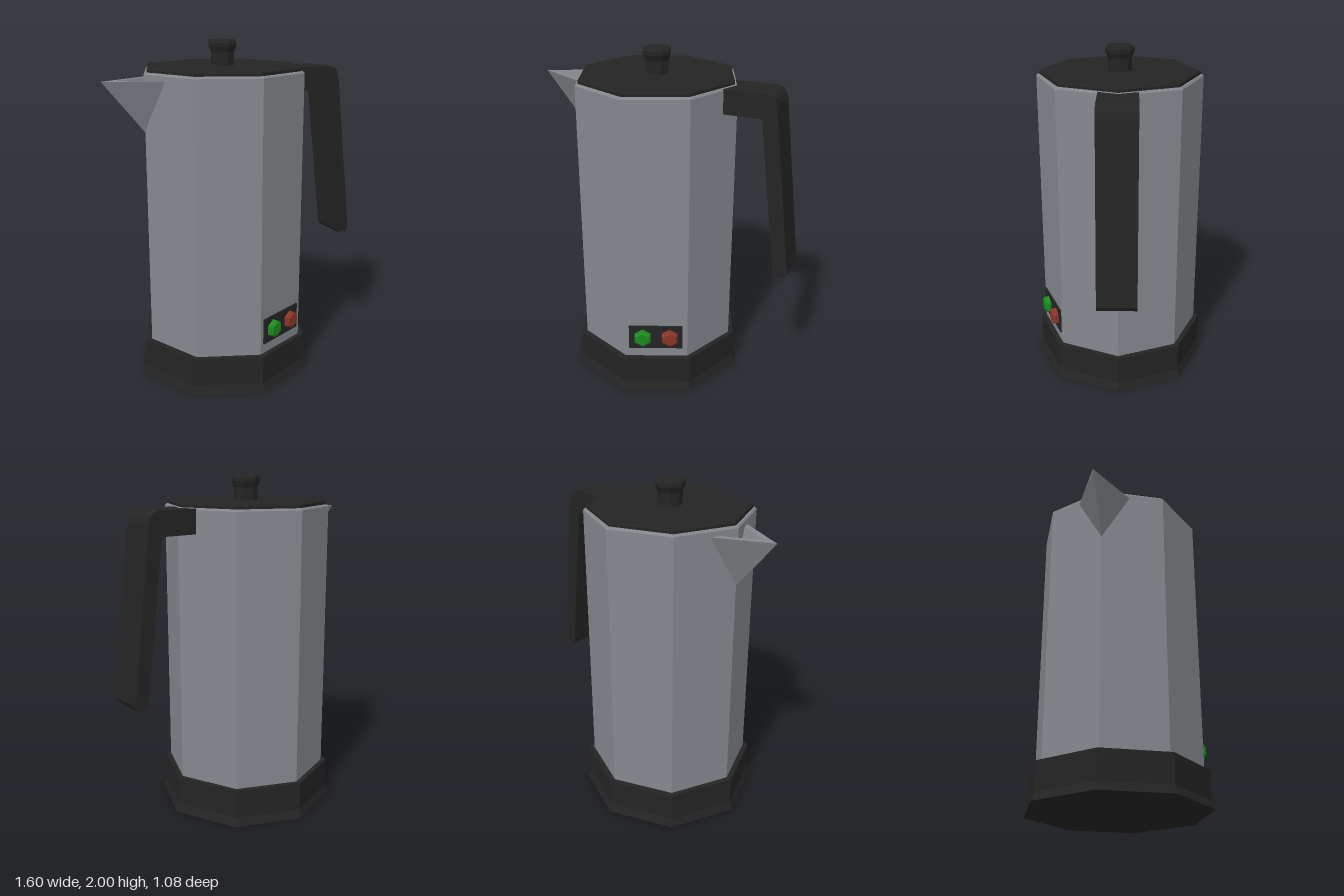
import * as THREE from 'three';

const AXIS_X = -0.065; // centre of the octagonal pot
const SIDES = 8;

function material(name, color) {
  const m = new THREE.MeshStandardMaterial({ color });
  m.name = name;
  return m;
}

// Faceted normals for a low-poly finish
function facet(geometry) {
  const g = geometry.index ? geometry.toNonIndexed() : geometry;
  g.computeVertexNormals();
  return g;
}

function turned(profile, sides = SIDES) {
  return facet(new THREE.LatheGeometry(profile.map(([r, y]) => new THREE.Vector2(r, y)), sides));
}

export function createModel() {
  const steel = material('steel', 0x84888d);
  const black = material('black plastic', 0x242424);
  const green = material('green button', 0x1c8a20);
  const red = material('red button', 0x8a3528);

  const model = new THREE.Group();
  model.name = 'kettle';
  const add = (name, geometry, mat, parent = model) => {
    const mesh = new THREE.Mesh(geometry, mat);
    mesh.name = name;
    parent.add(mesh);
    return mesh;
  };

  // Octagonal pot, stacked from the flared base to the knob
  const pot = new THREE.Group();
  pot.name = 'pot';
  pot.position.x = AXIS_X;
  model.add(pot);
  add('base', turned([[0, 0], [0.54, 0], [0.52, 0.05], [0.52, 0.22], [0, 0.22]]), black, pot);
  add('body', turned([[0.488, 0.215], [0.488, 1.822], [0.48, 1.832], [0, 1.832]]), steel, pot);
  add('lid', turned([[0, 1.833], [0.47, 1.833], [0.47, 1.848], [0.464, 1.855], [0, 1.855]]), black, pot);
  add('knob', turned([[0.07, 1.85], [0.07, 1.93], [0.086, 1.965], [0.086, 1.985], [0.076, 2], [0, 2]]), black, pot);

  // Spout: a hollow wedge with a flat rim
  const tip = [-0.8, 1.795, 0], keel = [-0.555, 1.5, 0];
  const near = [-0.49, 1.795, 0.155], far = [-0.49, 1.795, -0.155];
  const inTip = [-0.72, 1.795, 0], inKeel = [-0.555, 1.59, 0];
  const inNear = [-0.512, 1.795, 0.105], inFar = [-0.512, 1.795, -0.105];
  const spout = new THREE.BufferGeometry();
  spout.setAttribute('position', new THREE.Float32BufferAttribute([
    tip, keel, near, tip, far, keel, // outer walls
    inTip, inNear, inKeel, inTip, inKeel, inFar, // inner walls
    tip, near, inNear, tip, inNear, inTip, // rim
    tip, inFar, far, tip, inTip, inFar,
  ].flat(), 3));
  add('spout', facet(spout), steel);

  // Handle: bent bar with a rounded shoulder
  const bar = new THREE.Shape([
    [0.374, 1.69], [0.6, 1.69], [0.715, 0.765], [0.728, 0.747], [0.785, 0.747], [0.8, 0.775],
    [0.68, 1.765], [0.667, 1.803], [0.645, 1.823], [0.615, 1.83], [0.374, 1.83],
  ].map(([x, y]) => new THREE.Vector2(x, y)));
  const handle = new THREE.ExtrudeGeometry(bar, { depth: 0.22, bevelEnabled: false });
  handle.translate(0, 0, -0.11);
  add('handle', handle, black);

  // Control panel on the front left facet
  const controls = new THREE.Group();
  controls.name = 'controls';
  controls.rotation.y = Math.PI / SIDES;
  const apothem = 0.488 * Math.cos(Math.PI / SIDES);
  controls.position.set(
    AXIS_X + apothem * Math.sin(Math.PI / SIDES), 0.357, apothem * Math.cos(Math.PI / SIDES));
  model.add(controls);
  const plate = add('controlPanel', new THREE.BoxGeometry(0.322, 0.155, 0.016), black, controls);
  plate.position.x = -0.003;

  // Hexagonal buttons with a chamfered face
  const button = turned([[0.055, 0], [0.055, 0.026], [0.04, 0.04], [0, 0.04]], 6);
  button.rotateX(Math.PI / 2);
  [['greenButton', -0.081, green], ['redButton', 0.081, red]].forEach(([name, x, mat]) => {
    add(name, button, mat, controls).position.x = x;
  });

  return model;
}
